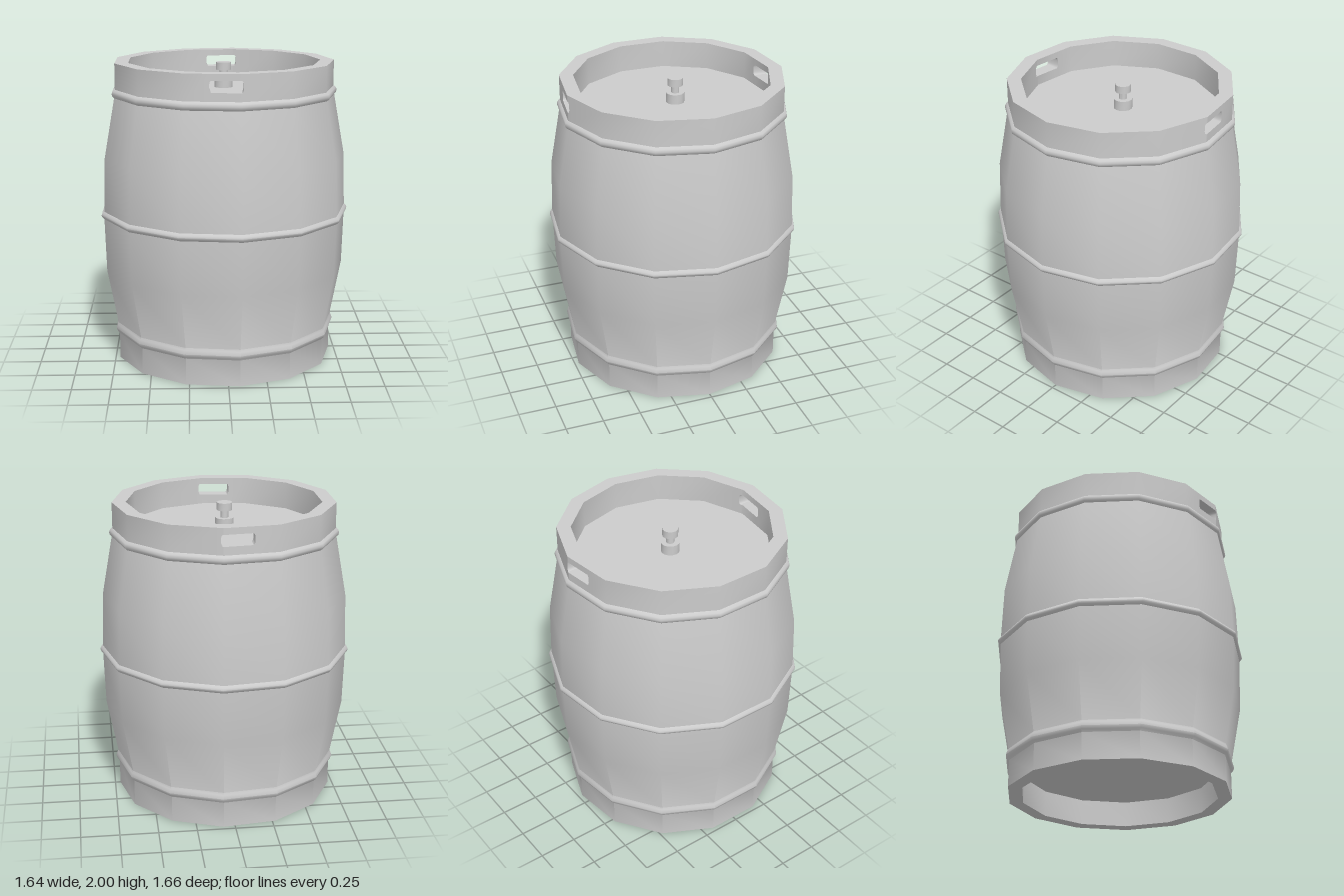
import * as THREE from 'three';
import { toCreasedNormals } from 'three/addons/utils/BufferGeometryUtils.js';

const SIDES = 13, OUTER = 0.728, INNER = 0.637, FLOOR_Y = 1.82, TOP_Y = 2;
const HOLE = { y: 1.921, halfW: 0.105, halfH: 0.037, r: 0.026 };
const STEP = (Math.PI * 2) / SIDES;

const material = new THREE.MeshStandardMaterial({ color: 0xcccccc });

function addMesh(parent, name, geometry, crease = 0.62) {
  const mesh = new THREE.Mesh(toCreasedNormals(geometry, crease), material);
  mesh.name = name;
  parent.add(mesh);
  return mesh;
}

// Profile turned into a 13-sided solid with a corner on +x
function turned(profile) {
  const points = profile.map(([r, y]) => new THREE.Vector2(r, y));
  return new THREE.LatheGeometry(points, SIDES, Math.PI / 2);
}

// z of the 13-sided outline of radius R at a given x, front half
function outlineZ(x, R) {
  for (let k = 0; k < 6; k++) {
    const x0 = R * Math.cos(k * STEP), x1 = R * Math.cos((k + 1) * STEP);
    if (x <= x0 && x >= x1) {
      const t = (x0 - x) / (x0 - x1);
      return R * THREE.MathUtils.lerp(Math.sin(k * STEP), Math.sin((k + 1) * STEP), t);
    }
  }
  return 0;
}

// Upper rim: a wall of columns, split above and below each hand hole
function rimGeometry() {
  const corner = (k) => {
    const c = Math.cos(k * STEP), s = Math.sin(k * STEP);
    return { ox: OUTER * c, oz: OUTER * s, ix: INNER * c, iz: INNER * s, h: 0 };
  };
  const holeStation = (x) => {
    const d = Math.max(0, Math.abs(x) - (HOLE.halfW - HOLE.r));
    const h = HOLE.halfH - HOLE.r + Math.sqrt(Math.max(0, HOLE.r ** 2 - d * d)) + 0.006;
    return { ox: x, oz: outlineZ(x, OUTER), ix: x, iz: outlineZ(x, INNER), h: Math.min(h, HOLE.halfH) };
  };
  const xs = [OUTER * Math.cos(3 * STEP), INNER * Math.cos(3 * STEP)];
  for (const f of [0, 0.3, 0.6, 0.85, 1]) {
    const x = HOLE.halfW - HOLE.r * (1 - f);
    xs.push(x, -x);
  }
  xs.sort((a, b) => b - a);
  const half = [corner(0), corner(1), corner(2), ...xs.map(holeStation), corner(4), corner(5), corner(6)];
  const back = half.slice(1).reverse().map((s) => ({ ...s, oz: -s.oz, iz: -s.iz }));
  const stations = [...half, ...back];

  const pos = [];
  const quad = (a, b, c, d) => pos.push(...a, ...b, ...c, ...a, ...c, ...d);
  const out = (s, y) => [s.ox, y, s.oz];
  const inn = (s, y) => [s.ix, y, s.iz];
  const wall = (a, b, a0, b0, a1, b1) => {
    quad(out(b, b0), out(a, a0), out(a, a1), out(b, b1));
    quad(inn(a, a0), inn(b, b0), inn(b, b1), inn(a, a1));
  };
  stations.forEach((a, i) => {
    const b = stations[(i + 1) % stations.length];
    const aLow = HOLE.y - a.h, aHigh = HOLE.y + a.h;
    const bLow = HOLE.y - b.h, bHigh = HOLE.y + b.h;
    quad(out(b, TOP_Y), out(a, TOP_Y), inn(a, TOP_Y), inn(b, TOP_Y));
    if (a.h && b.h) {
      wall(a, b, FLOOR_Y, FLOOR_Y, aLow, bLow);
      wall(a, b, aHigh, bHigh, TOP_Y, TOP_Y);
      quad(out(b, bLow), out(a, aLow), inn(a, aLow), inn(b, bLow));
      quad(inn(b, bHigh), inn(a, aHigh), out(a, aHigh), out(b, bHigh));
    } else {
      wall(a, b, FLOOR_Y, FLOOR_Y, TOP_Y, TOP_Y);
      // Upright ends of the hole
      if (b.h) quad(inn(b, bLow), out(b, bLow), out(b, bHigh), inn(b, bHigh));
      if (a.h) quad(inn(a, aHigh), out(a, aHigh), out(a, aLow), inn(a, aLow));
    }
  });
  const geometry = new THREE.BufferGeometry();
  geometry.setAttribute('position', new THREE.Float32BufferAttribute(pos, 3));
  return geometry;
}

export function createModel() {
  const model = new THREE.Group();
  model.name = 'keg';
  const keg = new THREE.Group();
  keg.name = 'kegParts';
  keg.position.x = -0.013;
  model.add(keg);

  // Body with recessed base, foot ring and three raised hoops
  addMesh(keg, 'body', turned([
    [0, 0.17], [INNER, 0.17], [INNER, 0], [OUTER, 0], [OUTER, 0.175],
    [0.742, 0.19], [0.75, 0.21], [0.742, 0.235], [0.735, 0.25],
    [0.805, 0.62], [0.816, 0.975], [0.83, 0.988], [0.834, 1], [0.83, 1.012], [0.816, 1.025],
    [0.805, 1.38], [0.734, 1.775], [0.745, 1.785], [0.75, 1.802], [0.745, 1.818], [OUTER, 1.83],
  ]), 0.75);

  addMesh(keg, 'rimWithHandHoles', rimGeometry());

  const floor = addMesh(keg, 'topPlate', new THREE.CircleGeometry(INNER, SIDES));
  floor.rotation.x = -Math.PI / 2;
  floor.position.y = FLOOR_Y;

  // Valve: base collar, stem and cap
  const valve = new THREE.Group();
  valve.name = 'valve';
  valve.position.z = -0.018;
  keg.add(valve);
  for (const [name, r, y0, y1] of [
    ['valveCollar', 0.06, FLOOR_Y, 1.885],
    ['valveStem', 0.026, 1.88, 1.94],
    ['valveCap', 0.051, 1.935, 1.985],
  ]) {
    addMesh(valve, name, new THREE.CylinderGeometry(r, r, y1 - y0, SIDES)).position.y = (y0 + y1) / 2;
  }
  return model;
}
